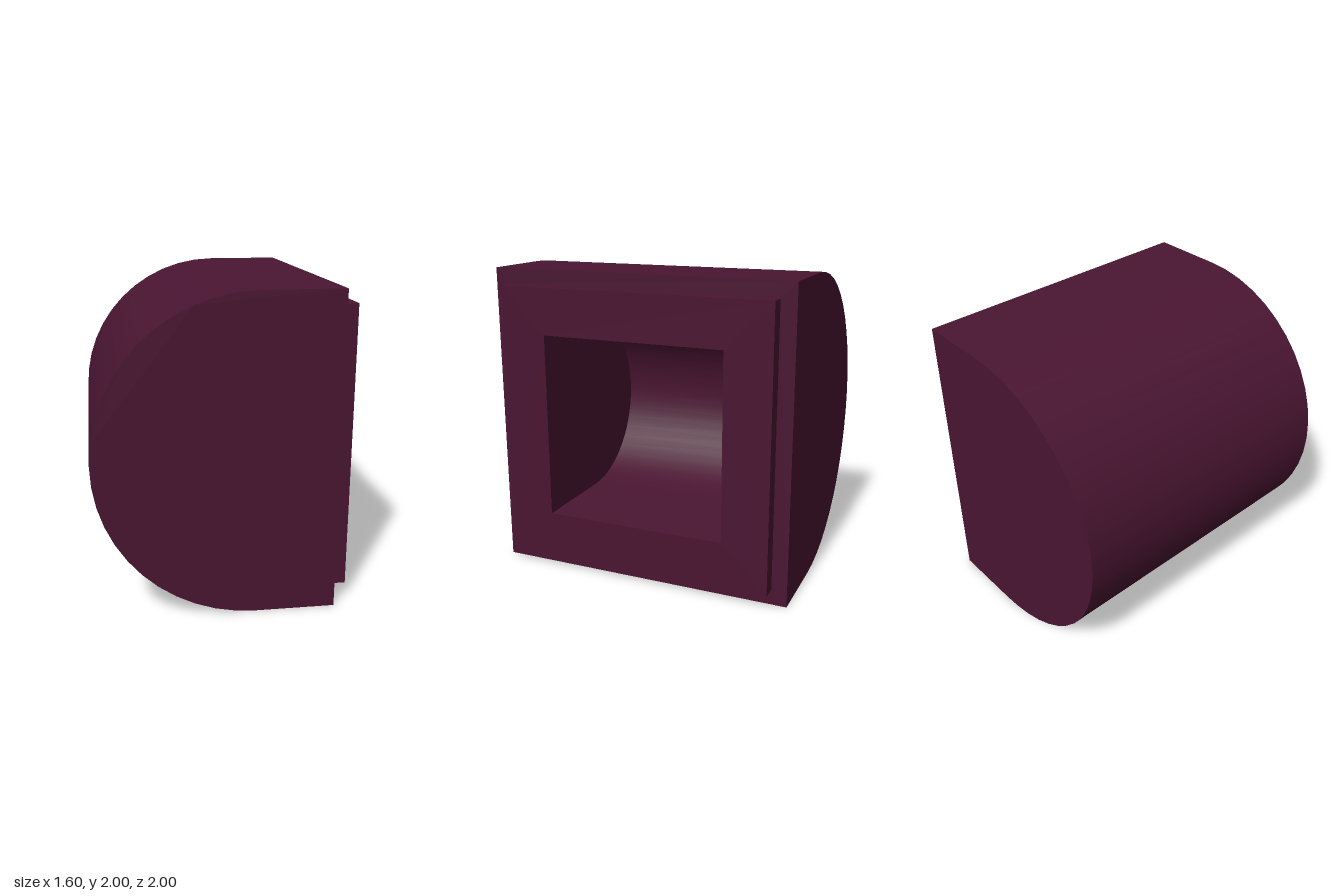
import * as THREE from 'three';

const material = new THREE.MeshStandardMaterial({ color: 0x4a1532 });
const RIM_X = 0.7;   // plane where the body meets the face plate
const MID_Y = 1;
const ARC_X = 0.2;   // centre of the rounded back
const STEPS = 24;

// D profile, counter-clockwise from the top of the flat side
function dProfile(r) {
  const pts = [new THREE.Vector2(RIM_X, MID_Y + r)];
  for (let i = 0; i <= STEPS; i++) {
    const a = Math.PI / 2 + (Math.PI * i) / STEPS;
    pts.push(new THREE.Vector2(ARC_X + r * Math.cos(a), MID_Y + r * Math.sin(a)));
  }
  pts.push(new THREE.Vector2(RIM_X, MID_Y - r));
  return pts;
}

function flip(geometry) {
  const index = geometry.index.array;
  for (let i = 0; i < index.length; i += 3) {
    [index[i + 1], index[i + 2]] = [index[i + 2], index[i + 1]];
  }
  geometry.computeVertexNormals();
  return geometry;
}

// Smooth curved wall along z, open on the +x side
function curvedWall(pts, halfZ) {
  const pos = [], idx = [];
  pts.forEach((p, i) => {
    pos.push(p.x, p.y, -halfZ, p.x, p.y, halfZ);
    if (i < pts.length - 1) {
      const a = i * 2;
      idx.push(a, a + 2, a + 3, a, a + 3, a + 1);
    }
  });
  const g = new THREE.BufferGeometry();
  g.setAttribute('position', new THREE.Float32BufferAttribute(pos, 3));
  g.setIndex(idx);
  g.computeVertexNormals();
  return g;
}

// Curved wall plus two flat D ends, facing outward or inward
function dShell(name, r, halfZ, inward) {
  const group = new THREE.Group();
  group.name = name;
  const pts = dProfile(r);
  const add = (part, g, flipped) => {
    const mesh = new THREE.Mesh(flipped ? flip(g) : g, material);
    mesh.name = part;
    group.add(mesh);
  };
  add(name + 'CurvedWall', curvedWall(pts, halfZ), inward);
  for (const s of [1, -1]) {
    const end = new THREE.ShapeGeometry(new THREE.Shape(pts)).translate(0, 0, s * halfZ);
    add(name + (s > 0 ? 'FrontEnd' : 'BackEnd'), end, (s < 0) !== inward);
  }
  return group;
}

function square(path, h) {
  path.moveTo(-h, -h);
  path.lineTo(h, -h);
  path.lineTo(h, h);
  path.lineTo(-h, h);
  path.closePath();
  return path;
}

function squareFrame(outer, inner) {
  const shape = square(new THREE.Shape(), outer);
  shape.holes.push(square(new THREE.Path(), inner));
  return shape;
}

// Turns a frame drawn in xy to face +x at the rim
function rimMesh(name, geometry) {
  const mesh = new THREE.Mesh(geometry.rotateY(Math.PI / 2).translate(RIM_X, MID_Y, 0), material);
  mesh.name = name;
  return mesh;
}

export function createModel() {
  const model = new THREE.Group();
  model.name = 'hollowHousing';
  model.add(
    dShell('body', 1, 1, false),
    dShell('cavity', 0.6, 0.6, true),
    // Step around the plate
    rimMesh('bodyRim', new THREE.ShapeGeometry(squareFrame(1, 0.9))),
    // Raised plate with the square opening
    rimMesh('facePlate', new THREE.ExtrudeGeometry(squareFrame(0.9, 0.6), { depth: 0.1, bevelEnabled: false })),
  );
  return model;
}
